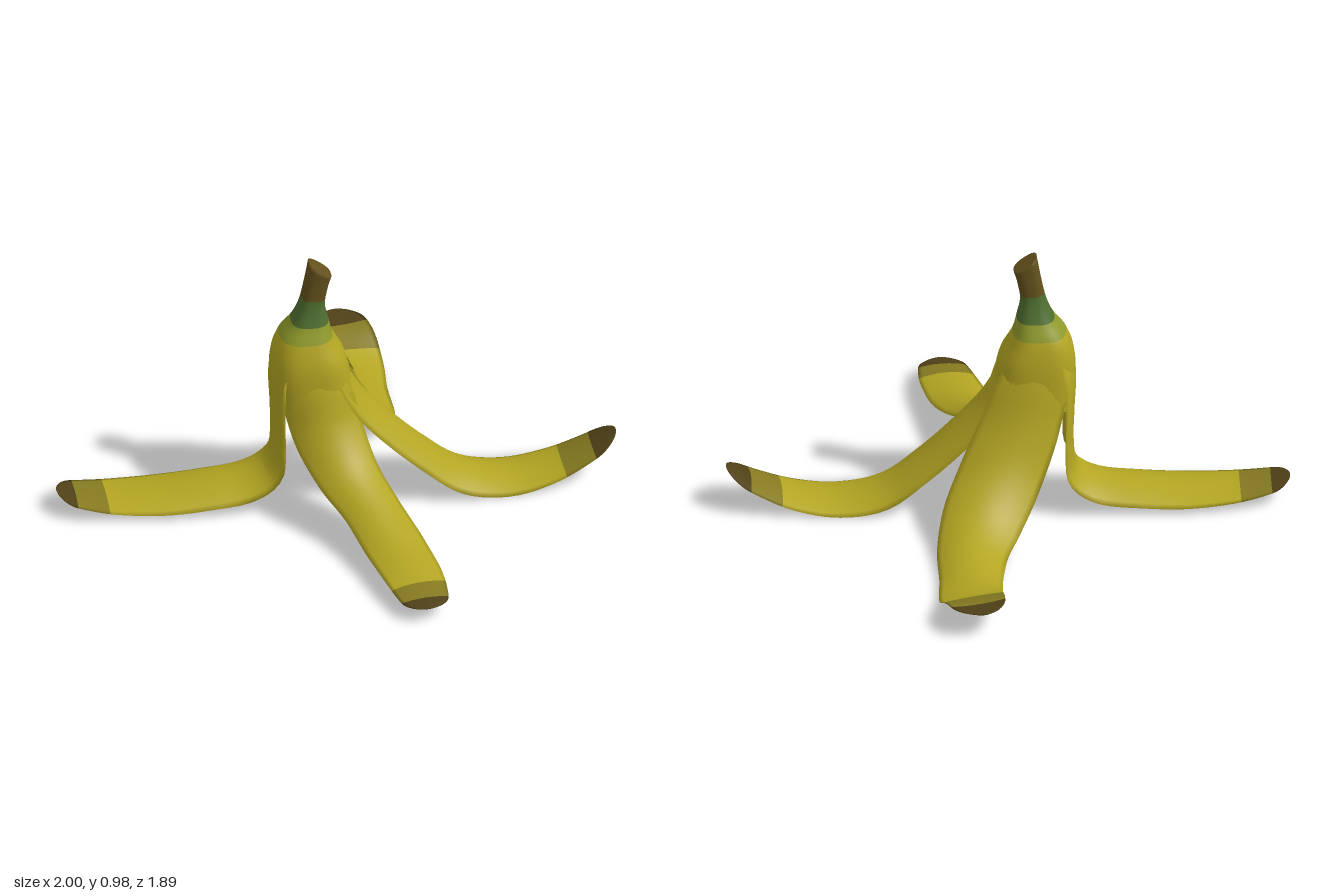
import * as THREE from 'three';

const mat = (color) => new THREE.MeshStandardMaterial({ color, side: THREE.DoubleSide });
const yellow = mat(0xb3a522), olive = mat(0x857a20), brown = mat(0x4f4016);
const green = mat(0x4f6e30), lime = mat(0x8f9a2a), stemBrown = mat(0x63501c);

// Skins closed rings of equal length; bands = [[endFraction, material], ...] along the loft
function loft(name, rings, bands) {
  const n = rings[0].length, index = [], geo = new THREE.BufferGeometry();
  const pos = rings.flat().flatMap((p) => [p.x, p.y, p.z]);
  for (let i = 0; i < rings.length - 1; i++) {
    for (let j = 0; j < n; j++) {
      const a = i * n + j, b = i * n + (j + 1) % n;
      index.push(a, a + n, b, b, a + n, b + n);
    }
  }
  geo.setAttribute('position', new THREE.Float32BufferAttribute(pos, 3));
  geo.setIndex(index);
  geo.computeVertexNormals();
  let start = 0;
  bands.forEach(([end], k) => {
    const stop = Math.round(end * (rings.length - 1)) * n * 6;
    geo.addGroup(start, stop - start, k);
    start = stop;
  });
  const mesh = new THREE.Mesh(geo, bands.map((b) => b[1]));
  mesh.name = name;
  return mesh;
}

// Two smooth curves through rows of six numbers
function tracks(rows) {
  const curve = (k) => new THREE.CatmullRomCurve3(
    rows.map((r) => new THREE.Vector3(r[k], r[k + 1], r[k + 2])), false, 'catmullrom', 0.5);
  return [curve(0), curve(3)];
}

// Peel strip: rows of crest x, y, z, half width, edge drop, roll
function flap(name, out, rows) {
  const [path, shape] = tracks(rows);
  const steps = 56, across = 14, thick = 0.014, rings = [];
  const side0 = new THREE.Vector3(-out[1], 0, out[0]);
  for (let i = 0; i <= steps; i++) {
    const u = Math.sin((i / steps) * Math.PI / 2);
    const c = path.getPoint(u), t = path.getTangent(u), s = shape.getPoint(u);
    const side = side0.clone().addScaledVector(t, -side0.dot(t)).normalize().applyAxisAngle(t, s.z);
    const normal = new THREE.Vector3().crossVectors(side, t);
    const round = u > 0.92 ? Math.sqrt(Math.max(0, 1 - ((u - 0.92) / 0.08) ** 2)) : 1;
    const ring = [];
    for (let j = 0; j < 2 * across; j++) {
      const inner = j >= across;
      const v = inner ? 1 - 2 * (j - across) / across : -1 + 2 * j / across;
      const depth = s.y * v * v + (inner ? thick * (1 - v * v) : 0);
      ring.push(c.clone().addScaledVector(side, v * s.x * round).addScaledVector(normal, -depth * round));
    }
    rings.push(ring);
  }
  return loft(name, rings, [[0.6, yellow], [0.74, olive], [1, brown]]);
}

// Closed upper skin and stem: rows of centre x, y, z, half x, half z, tilt
function crown() {
  const [path, shape] = tracks([
    [-0.095, 0.46, 0.055, 0.14, 0.132, 0.45],
    [-0.108, 0.59, 0.055, 0.133, 0.124, 0.1],
    [-0.115, 0.68, 0.052, 0.1, 0.102, 0],
    [-0.1, 0.75, 0.053, 0.067, 0.071, 0],
    [-0.092, 0.82, 0.056, 0.046, 0.049, 0],
    [-0.077, 0.9, 0.058, 0.042, 0.044, -0.2],
    [-0.064, 0.962, 0.06, 0.041, 0.043, -0.7],
  ]);
  const steps = 36, around = 32, rings = [];
  const ring = (u, scale) => {
    const c = path.getPoint(u), s = shape.getPoint(u), pts = [];
    for (let j = 0; j < around; j++) {
      const a = (j / around) * Math.PI * 2, ca = Math.cos(a), sa = Math.sin(a);
      const x = Math.sign(ca) * Math.abs(ca) ** 0.75 * s.x * scale;
      const z = Math.sign(sa) * Math.abs(sa) ** 0.75 * s.y * scale;
      pts.push(new THREE.Vector3(c.x + x, c.y + x * s.z, c.z + z));
    }
    return pts;
  };
  for (let i = 0; i <= steps; i++) rings.push(ring(i / steps, 1));
  [0.88, 0.5, 0].forEach((k) => rings.push(ring(1, k)));
  return loft('crownAndStem', rings, [[0.34, yellow], [0.46, lime], [0.66, green], [1, stemBrown]]);
}

export function createModel() {
  const model = new THREE.Group();
  model.name = 'bananaPeel';
  model.add(crown());

  model.add(flap('leftFlap', [1, 0], [
    [-0.03, 0.65, 0.055, 0.09, 0.03, 0],
    [0.03, 0.54, 0.055, 0.122, 0.045, 0],
    [0.1, 0.42, 0.055, 0.13, 0.05, 0],
    [0.2, 0.305, 0.055, 0.133, 0.05, 0],
    [0.32, 0.185, 0.055, 0.135, 0.045, 0],
    [0.45, 0.085, 0.055, 0.135, 0.045, 0],
    [0.6, 0.045, 0.055, 0.128, 0.032, 0],
    [0.75, 0.06, 0.05, 0.115, 0.02, 0],
    [0.88, 0.11, 0.045, 0.095, 0.015, 0],
    [0.995, 0.172, 0.04, 0.07, 0.01, 0],
  ]));

  model.add(flap('rightFlap', [-1, 0], [
    [-0.2, 0.66, 0.05, 0.09, 0.03, 0],
    [-0.242, 0.55, 0.045, 0.122, 0.045, 0],
    [-0.238, 0.4, 0.035, 0.13, 0.036, 0],
    [-0.234, 0.27, 0.03, 0.135, 0.034, 0],
    [-0.25, 0.165, 0.03, 0.137, 0.04, 0],
    [-0.33, 0.11, 0.03, 0.138, 0.045, 0],
    [-0.47, 0.085, 0.03, 0.138, 0.04, 0],
    [-0.63, 0.064, 0.03, 0.135, 0.028, 0],
    [-0.8, 0.057, 0.03, 0.118, 0.012, 0],
    [-0.92, 0.073, 0.03, 0.095, 0.008, 0],
    [-1, 0.092, 0.03, 0.07, 0.005, 0],
  ]));

  model.add(flap('frontFlap', [0, 1], [
    [-0.105, 0.66, 0.145, 0.08, 0.03, 0],
    [-0.09, 0.52, 0.187, 0.122, 0.045, 0],
    [-0.055, 0.38, 0.22, 0.127, 0.05, 0],
    [0.0, 0.265, 0.295, 0.115, 0.045, 0],
    [0.07, 0.19, 0.41, 0.105, 0.045, 0],
    [0.13, 0.13, 0.57, 0.11, 0.035, 0],
    [0.17, 0.1, 0.73, 0.106, 0.02, 0],
    [0.19, 0.082, 0.85, 0.092, 0.012, 0],
    [0.2, 0.07, 0.94, 0.07, 0.006, 0],
  ]));

  model.add(flap('backFlap', [0, -1], [
    [-0.105, 0.66, -0.035, 0.08, 0.03, 0],
    [-0.09, 0.54, -0.075, 0.122, 0.045, 0],
    [-0.04, 0.38, -0.115, 0.14, 0.05, 0],
    [0.03, 0.24, -0.18, 0.148, 0.05, 0],
    [0.1, 0.14, -0.28, 0.145, 0.05, 0],
    [0.14, 0.09, -0.4, 0.128, 0.05, 0],
    [0.155, 0.065, -0.56, 0.114, 0.03, 0.08],
    [0.162, 0.062, -0.7, 0.114, 0.01, 0.15],
    [0.147, 0.1, -0.83, 0.104, -0.006, 0.08],
    [0.122, 0.115, -0.945, 0.08, 0, 0],
  ]));

  // Rest on the ground
  const low = new THREE.Box3().setFromObject(model, true).min.y;
  model.children.forEach((m) => m.geometry.translate(0, -low, 0));
  return model;
}
